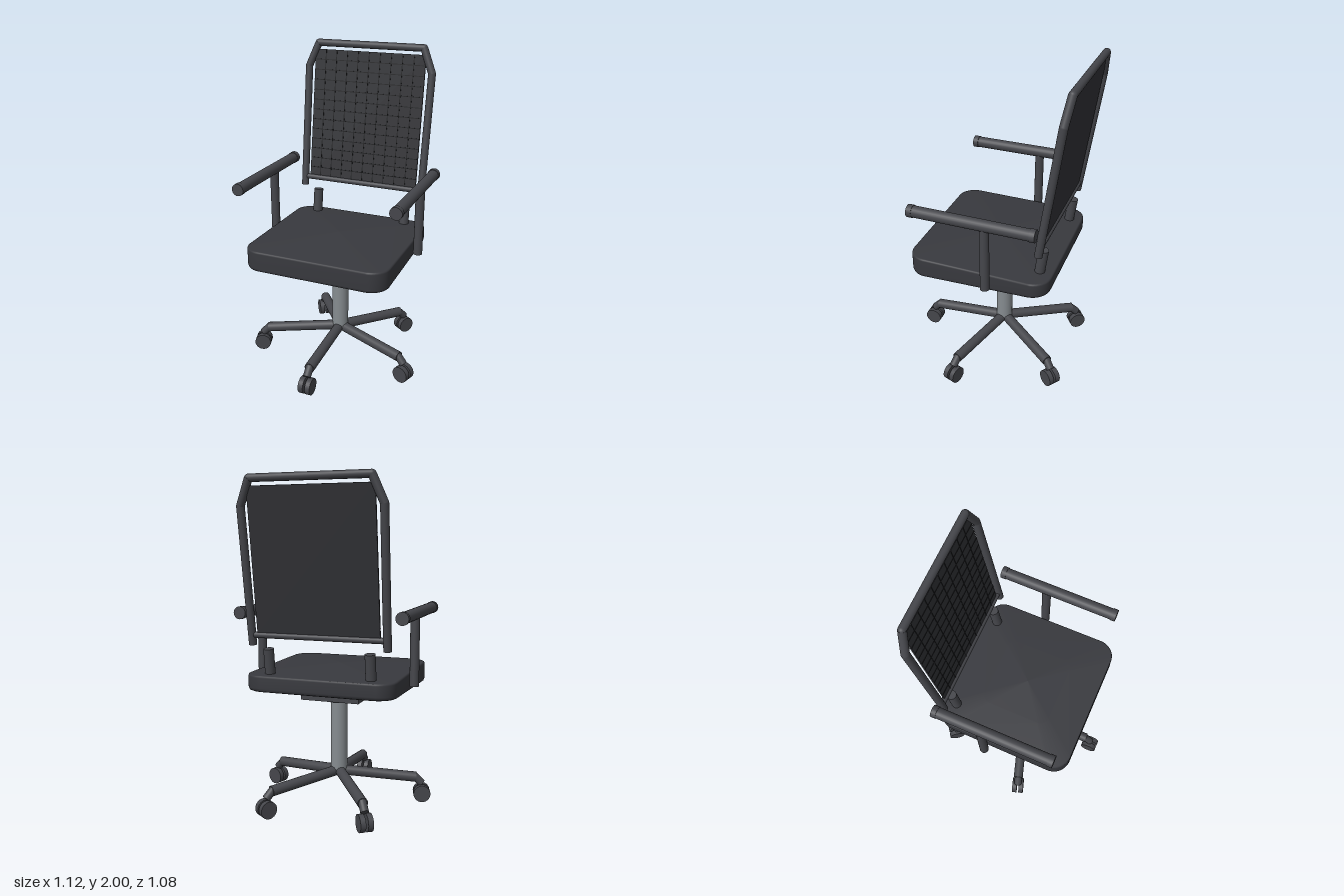
import * as THREE from 'three';

const mat = (color) => new THREE.MeshStandardMaterial({ color });
const V = (x, y, z) => new THREE.Vector3(x, y, z);

export function createModel() {
  const chair = new THREE.Group();
  chair.name = 'officeChair';
  const frame = mat(0x45464b);
  const cushion = mat(0x38393e);
  const fabric = mat(0x303135);
  const thread = mat(0x18191b);
  const steel = mat(0x868c90);
  const axisZ = -0.035; // centre line of the column and base

  function add(parent, name, geometry, material, x = 0, y = 0, z = 0) {
    const mesh = new THREE.Mesh(geometry, material);
    mesh.name = name;
    mesh.position.set(x, y, z);
    parent.add(mesh);
    return mesh;
  }

  // Straight round bar between two points
  function bar(parent, name, a, b, r, material = frame) {
    const dir = b.clone().sub(a);
    const geometry = new THREE.CylinderGeometry(r, r, dir.length(), 24);
    const mesh = add(parent, name, geometry, material);
    mesh.position.copy(a).add(b).multiplyScalar(0.5);
    mesh.quaternion.setFromUnitVectors(V(0, 1, 0), dir.normalize());
    return mesh;
  }

  // Seat cushion: stacked rounded-square rings, crowned on top, tilted underneath
  function seatGeometry() {
    const hx = 0.458, hz = 0.44, r = 0.11, cz = -0.01, steps = 10;
    const outline = [];
    for (let c = 0; c < 4; c++) {
      const sx = c === 0 || c === 3 ? 1 : -1;
      const sz = c < 2 ? 1 : -1;
      for (let i = 0; i <= steps; i++) {
        const a = (c + i / steps) * Math.PI / 2;
        outline.push([sx * (hx - r) + r * Math.cos(a), sz * (hz - r) + r * Math.sin(a)]);
      }
    }
    const low = (z) => 0.743 - 0.033 * z;
    const high = (z) => 0.858 + 0.008 * z;
    const rings = [
      [0, low], [0.965, low], [0.99, (z) => low(z) + 0.006], [1, (z) => low(z) + 0.022],
      [1, (z) => high(z) - 0.012], [0.995, (z) => high(z) - 0.003], [0.98, high],
      [0.5, () => 0.872], [0, () => 0.885],
    ];
    const n = outline.length, pos = [], index = [];
    rings.forEach(([s, height], k) => {
      outline.forEach(([x, z], j) => {
        pos.push(x * s, height(z * s), z * s + cz);
        if (k === rings.length - 1) return;
        const a = k * n + j, b = k * n + (j + 1) % n;
        index.push(a, a + n, b, b, a + n, b + n);
      });
    });
    const g = new THREE.BufferGeometry();
    g.setAttribute('position', new THREE.Float32BufferAttribute(pos, 3));
    g.setIndex(index);
    g.computeVertexNormals();
    return g;
  }
  add(chair, 'seat', seatGeometry(), cushion);

  // Mounting plate, collar and gas column
  add(chair, 'seatPlate', new THREE.BoxGeometry(0.37, 0.075, 0.35), frame, 0, 0.713, axisZ);
  add(chair, 'columnCollar', new THREE.CylinderGeometry(0.068, 0.068, 0.03, 32), steel, 0, 0.66, axisZ);
  add(chair, 'column', new THREE.CylinderGeometry(0.052, 0.052, 0.46, 32), steel, 0, 0.42, axisZ);

  // Five-star base, each leg with a twin-wheel caster
  for (let i = 0; i < 5; i++) {
    const leg = new THREE.Group();
    leg.name = 'baseLeg' + (i + 1);
    leg.position.z = axisZ;
    leg.rotation.y = i * Math.PI * 2 / 5;
    bar(leg, 'spoke', V(0, 0.2, 0), V(0, 0.155, 0.488), 0.032);
    bar(leg, 'casterStem', V(0, 0.165, 0.475), V(0, 0.115, 0.525), 0.025);
    for (const side of [-1, 1]) {
      const wheel = add(leg, 'casterWheel', new THREE.CylinderGeometry(0.053, 0.053, 0.032, 28),
        frame, side * 0.023, 0.054, 0.525);
      wheel.rotation.z = Math.PI / 2;
    }
    chair.add(leg);
  }

  // Armrests and the stubs at the rear of the seat
  for (const side of [1, -1]) {
    const label = side > 0 ? 'left' : 'right';
    const x = side * 0.495;
    bar(chair, label + 'ArmPost', V(x, 0.785, -0.095), V(x, 1.2, -0.095), 0.028);
    bar(chair, label + 'Armrest', V(x, 1.215, 0.35), V(x, 1.215, -0.375), 0.035);
    bar(chair, label + 'ArmFrontCap', V(x, 1.215, 0.335), V(x, 1.215, 0.368), 0.038);
    bar(chair, label + 'ArmRearCap', V(x, 1.215, -0.363), V(x, 1.215, -0.395), 0.038);
    bar(chair, label + 'BackStub', V(side * 0.312, 0.84, -0.365), V(side * 0.312, 1.01, -0.387), 0.031);
  }

  // Reclined backrest, built upright in its own plane from y = 0
  const back = new THREE.Group();
  back.name = 'backrest';
  back.position.set(0, 1.03, -0.386);
  back.rotation.x = -Math.atan(0.137);
  chair.add(back);
  for (const side of [1, -1]) {
    const label = side > 0 ? 'left' : 'right';
    const bend = V(side * 0.42, 0.805, 0), corner = V(side * 0.357, 0.957, 0);
    bar(back, label + 'Upright', V(side * 0.413, 0, 0), bend, 0.024);
    bar(back, label + 'Shoulder', bend, corner, 0.024);
    add(back, label + 'BendJoint', new THREE.SphereGeometry(0.024, 20, 14), frame).position.copy(bend);
    add(back, label + 'CornerJoint', new THREE.SphereGeometry(0.023, 20, 14), frame).position.copy(corner);
  }
  bar(back, 'topRail', V(-0.357, 0.957, 0), V(0.357, 0.957, 0), 0.023);
  bar(back, 'bottomRail', V(-0.4, 0.06, 0), V(0.4, 0.06, 0), 0.018);

  // Backrest panel with a woven grid on its front
  const w = 0.75, h = 0.85, midY = 0.49;
  add(back, 'backPanel', new THREE.BoxGeometry(w, h, 0.012), fabric, 0, midY, 0);
  for (let i = 1; i < 10; i++)
    add(back, 'verticalThread', new THREE.BoxGeometry(0.005, h, 0.004), thread, (i / 10 - 0.5) * w, midY, 0.006);
  for (let i = 1; i < 13; i++)
    add(back, 'horizontalThread', new THREE.BoxGeometry(w, 0.005, 0.004), thread, 0, midY + (i / 13 - 0.5) * h, 0.006);

  return chair;
}
